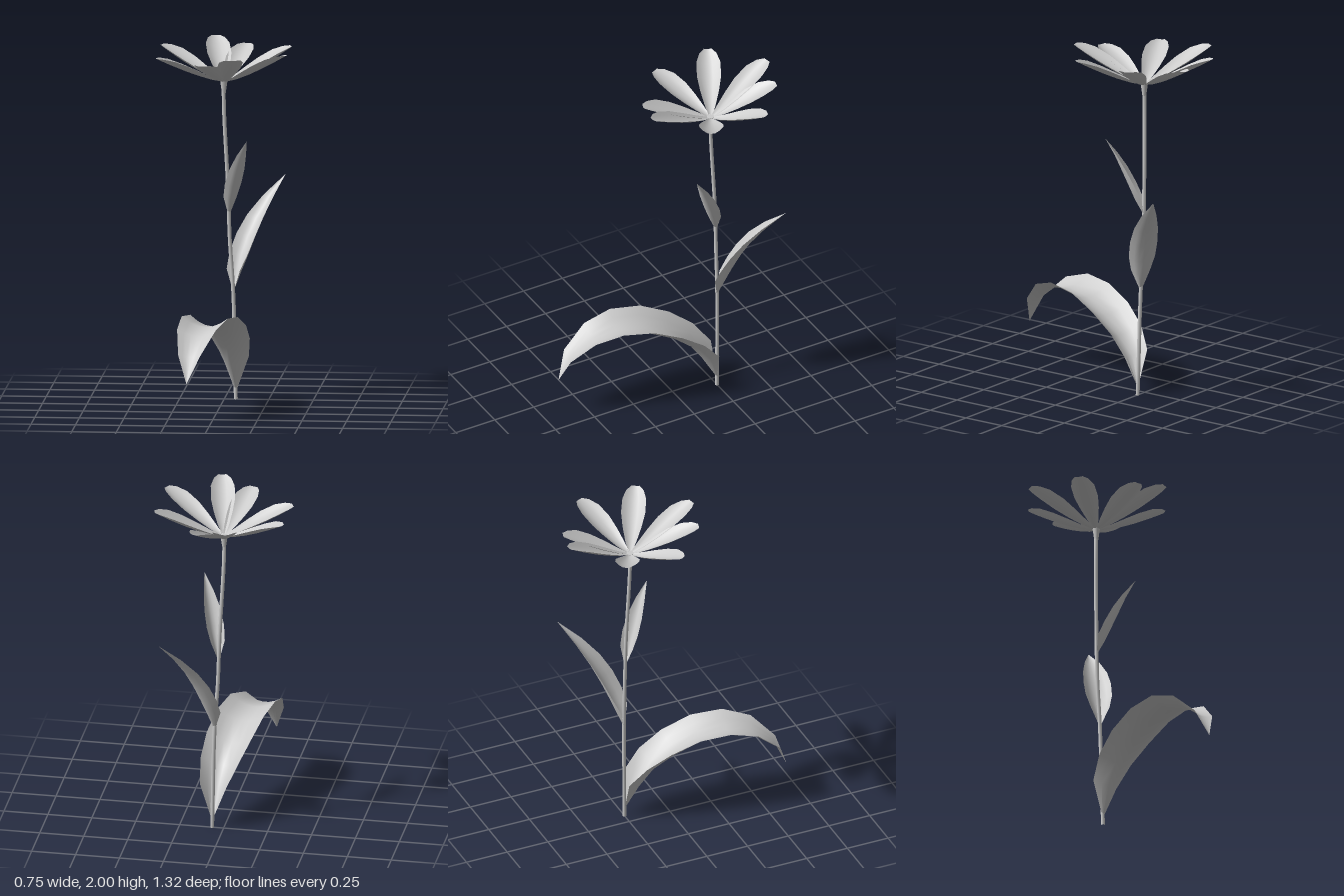
import * as THREE from 'three';

const grey = new THREE.MeshStandardMaterial({ color: 0xcccccc });
const thin = new THREE.MeshStandardMaterial({ color: 0xcccccc, side: THREE.DoubleSide });

// Cupped blade growing from base along the heading (dx, dz).
// Each station is [outward distance, height, half width, cup depth] along the midrib.
function blade(name, base, dx, dz, stations) {
  const len = Math.hypot(dx, dz);
  const d = new THREE.Vector3(dx / len, 0, dz / len);
  const side = new THREE.Vector3(d.z, 0, -d.x);
  const across = 6, pos = [], index = [];
  stations.forEach(([h, y, half, cup], i) => {
    const a = stations[Math.max(i - 1, 0)];
    const b = stations[Math.min(i + 1, stations.length - 1)];
    const th = b[0] - a[0], ty = b[1] - a[1], tl = Math.hypot(th, ty);
    for (let j = 0; j <= across; j++) {
      const u = (j / across) * 2 - 1;
      const lift = cup * u * u;
      const p = base.clone()
        .addScaledVector(d, h - (lift * ty) / tl)
        .addScaledVector(side, half * u);
      p.y += y + (lift * th) / tl;
      pos.push(p.x, p.y, p.z);
      if (i && j) {
        const q = i * (across + 1) + j, r = q - across - 1;
        index.push(r - 1, r, q, r - 1, q, q - 1);
      }
    }
  });
  const geo = new THREE.BufferGeometry();
  geo.setAttribute('position', new THREE.Float32BufferAttribute(pos, 3));
  // the last row of quads wraps to the upper side
  geo.setIndex(index);
  geo.computeVertexNormals();
  const mesh = new THREE.Mesh(geo, thin);
  mesh.name = name;
  return mesh;
}

export function createModel() {
  const model = new THREE.Group();
  model.name = 'flower';

  // Stem: slightly bowed, slender tube
  const path = new THREE.CatmullRomCurve3([
    [0.065, 0, -0.25], [0.05, 0.6, -0.26], [0.03, 0.9, -0.264],
    [0.02, 1.2, -0.262], [0, 1.6, -0.25], [-0.004, 1.79, -0.244],
  ].map((p) => new THREE.Vector3(...p)));
  const stem = new THREE.Mesh(new THREE.TubeGeometry(path, 20, 0.011, 8), grey);
  stem.name = 'stem';
  model.add(stem);

  // Receptacle: the flare that carries the petals
  const receptacle = new THREE.Mesh(new THREE.CylinderGeometry(0.021, 0.011, 0.07, 10), grey);
  receptacle.position.set(-0.002, 1.768, -0.246);
  receptacle.name = 'receptacle';
  model.add(receptacle);

  // Leaves: a big arching one, then two smaller upright ones
  model.add(blade('lowerLeaf', new THREE.Vector3(0.065, 0, -0.25), -0.2, 0.905, [
    [0, 0.05, 0.004, 0], [0.087, 0.2, 0.08, 0.09], [0.164, 0.31, 0.115, 0.08],
    [0.277, 0.4, 0.135, 0.07], [0.425, 0.475, 0.14, 0.06], [0.584, 0.495, 0.135, 0.055],
    [0.727, 0.465, 0.112, 0.04], [0.86, 0.365, 0.065, 0.02], [0.927, 0.225, 0.001, 0],
  ]));
  model.add(blade('middleLeaf', new THREE.Vector3(0.05, 0, -0.26), 0.27, -0.29, [
    [0, 0.61, 0.004, 0], [0.045, 0.71, 0.055, 0.05], [0.085, 0.8, 0.075, 0.05],
    [0.135, 0.9, 0.078, 0.045], [0.195, 1.0, 0.068, 0.035], [0.28, 1.11, 0.042, 0.02],
    [0.393, 1.23, 0.001, 0],
  ]));
  model.add(blade('upperLeaf', new THREE.Vector3(0.025, 0, -0.265), 0.115, 0.185, [
    [0, 1.04, 0.004, 0], [0.05, 1.13, 0.042, 0.04], [0.085, 1.21, 0.052, 0.037],
    [0.125, 1.3, 0.048, 0.03], [0.165, 1.39, 0.03, 0.015], [0.218, 1.485, 0.001, 0],
  ]));

  // Petals: heading x, heading z (their length is the reach) and tip rise
  const centre = new THREE.Vector3(0, 1.795, -0.247);
  const outline = [
    [0, 0.006, 0], [0.2, 0.032, 0.015], [0.4, 0.053, 0.025], [0.6, 0.068, 0.03],
    [0.8, 0.067, 0.027], [0.93, 0.048, 0.015], [1, 0.022, 0.003],
  ];
  const petals = new THREE.Group();
  petals.name = 'petals';
  [
    [-0.083, -0.41, 0.2], [0.1, -0.365, 0.165], [0.365, -0.148, 0.185], [0.362, 0.2, 0.185],
    [0.085, 0.42, 0.185], [-0.102, 0.378, 0.145], [-0.366, 0.157, 0.15], [-0.366, -0.187, 0.18],
  ].forEach(([dx, dz, rise]) => {
    const reach = Math.hypot(dx, dz);
    petals.add(blade('petal', centre, dx, dz,
      outline.map(([t, half, cup]) => [t * reach, rise * t ** 1.3, half, cup])));
  });
  model.add(petals);
  return model;
}
